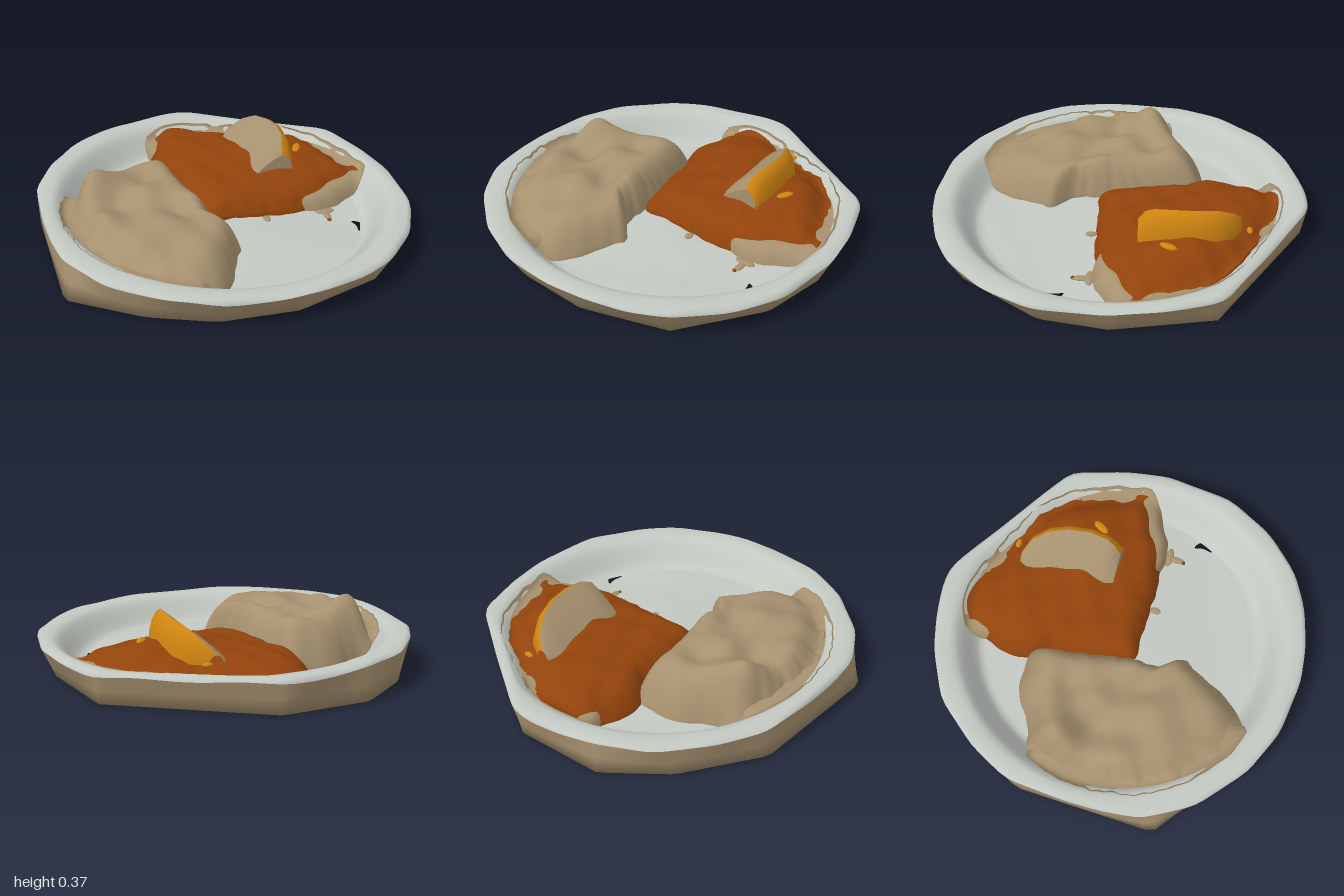
import * as THREE from 'three';

const N = 120;
const V = (x, y, z) => new THREE.Vector3(x, y, z);
const material = (name, color) => new THREE.MeshStandardMaterial({ name, color });

// Radius of a star-shaped outline around (cx, cz), sampled at N equal angles
function radii(points, cx = 0, cz = 0) {
  return Array.from({ length: N }, (_, j) => {
    const a = (j / N) * Math.PI * 2, dx = Math.cos(a), dz = Math.sin(a);
    let best = 0;
    points.forEach(([x0, z0], i) => {
      const [x1, z1] = points[(i + 1) % points.length];
      const ex = x1 - x0, ez = z1 - z0, px = x0 - cx, pz = z0 - cz;
      const d = dx * ez - dz * ex;
      if (Math.abs(d) < 1e-9) return;
      const r = (px * ez - pz * ex) / d, s = (px * dz - pz * dx) / d;
      if (s >= -1e-6 && s <= 1 + 1e-6) best = Math.max(best, r);
    });
    return best;
  });
}

// Round off the corners of a radius list
const soften = (r, passes) => {
  for (let p = 0; p < passes; p++) r = r.map((v, j) => (r[(j + N - 1) % N] + 2 * v + r[(j + 1) % N]) / 4);
  return r;
};

// Closed loop of points from radii and a height rule
const loop = (r, scale, height, cx = 0, cz = 0) => r.map((v, j) => {
  const a = (j / N) * Math.PI * 2;
  const x = cx + Math.cos(a) * v * scale, z = cz + Math.sin(a) * v * scale;
  return V(x, height(x, z), z);
});

// Skin through loops; order runs bottom to top, then outside to inside
function skin(rings, closed = true) {
  const n = rings[0].length, pos = [], idx = [];
  rings.forEach(ring => ring.forEach(p => pos.push(p.x, p.y, p.z)));
  for (let i = 0; i < rings.length - 1; i++) {
    for (let j = 0; j < (closed ? n : n - 1); j++) {
      const k = (j + 1) % n, a = i * n + j, b = i * n + k, c = a + n, d = b + n;
      idx.push(a, c, b, b, c, d);
    }
  }
  const g = new THREE.BufferGeometry();
  g.setAttribute('position', new THREE.Float32BufferAttribute(pos, 3));
  g.setIndex(idx);
  g.computeVertexNormals();
  return g;
}

const blend = (A, B, t, y) => A.map((p, j) => {
  const q = p.clone().lerp(B[j], t);
  if (y) q.y = y(q);
  return q;
});
const ripple = (x, z) => Math.sin(17 * x + 5 * z) * Math.sin(15 * z - 6 * x + 1);
const bumps = list => (x, z) => list.reduce((s, [bx, bz, h, r]) =>
  s + h * Math.exp(-((x - bx) ** 2 + (z - bz) ** 2) / (r * r)), 0);

// Plate outlines: irregular rim, inner lip and more angular foot
const rim = soften(radii([[0.07, -1], [-0.06, -1], [-0.22, -0.97], [-0.4, -0.915], [-0.65, -0.78], [-0.84, -0.54],
  [-0.95, -0.32], [-0.97, 0], [-0.965, 0.2], [-0.94, 0.4], [-0.8, 0.64], [-0.55, 0.85], [-0.3, 0.96], [0, 0.995],
  [0.2, 0.975], [0.42, 0.915], [0.6, 0.82], [0.8, 0.62], [0.93, 0.37], [0.97, 0], [0.93, -0.25], [0.83, -0.55],
  [0.5, -0.75]]), 1);
const foot = radii([[0.05, -0.97], [-0.42, -0.92], [-0.7, -0.68], [-0.95, -0.28], [-0.96, 0.47], [-0.62, 0.72],
  [-0.3, 0.86], [0.1, 0.89], [0.55, 0.76], [0.84, 0.35], [0.9, 0], [0.8, -0.52]]);
const inner = soften(rim.map(v => Math.min(0.89, v * 0.935)), 4);

// Height of the dish: deep floor curving up to the tilted rim
const rimY = x => 0.177 - 0.023 * x;
const floorBumps = bumps([[-0.1, 0.1, 0.045, 0.35], [0.665, 0.29, -0.023, 0.25]]);
function plateY(x, z) {
  const j = Math.round(((Math.atan2(z, x) / (Math.PI * 2)) + 1) * N) % N;
  const s = THREE.MathUtils.smoothstep(Math.hypot(x, z) / inner[j], 0.84, 1.01);
  const low = 0.035 + floorBumps(x, z);
  return low + (rimY(x) - low) * s;
}

// Mound of food: steep edge, uneven outline, height rule inside
function mound(outline, cx, cz, height, steep, skirt) {
  const r = soften(radii(outline, cx, cz), 1).map((v, j) => v + 0.006 * Math.sin(j * 1.1) * Math.sin(j * 0.37));
  const rings = [loop(r, 1.01, (x, z) => plateY(x, z) - 0.012, cx, cz)];
  for (let i = 0; i <= 30; i++) {
    const t = 1 - (i / 30) ** 1.5;
    rings.push(loop(r, t, (x, z) => {
      const low = plateY(x, z) + skirt;
      return low + (height(x, z) - low) * (1 - t ** steep);
    }, cx, cz));
  }
  return skin(rings);
}

export function createModel() {
  const group = new THREE.Group();
  const grey = material('plateGrey', 0xc3c8c2);
  const tan = material('tan', 0xa6916f);
  const brown = material('curryBrown', 0x92430c);
  const amber = material('amber', 0xcf8510);
  tan.side = amber.side = THREE.DoubleSide;
  const add = (name, geometry, mat) => {
    const mesh = new THREE.Mesh(geometry, mat);
    mesh.name = name;
    group.add(mesh);
    return mesh;
  };

  // Small torn hole where the floor meets the underside
  const hole = Array.from({ length: N }, (_, j) => {
    const a = (j / N) * Math.PI * 2;
    return V(0.665 + 0.02 * Math.cos(a) + 0.012 * Math.cos(2 * a), 0.012, 0.29 + 0.05 * Math.sin(a));
  });
  const base = loop(foot, 1, x => 0.005 - 0.005 * x);
  const wallTop = loop(rim, 1, (x, z) => rimY(x) - 0.014 + 0.005 * Math.sin(9 * x + 7 * z));

  // Flat underside and outer wall
  add('plateBody', skin([hole, base, blend(base, wallTop, 0.5), wallTop]), tan);

  // Rim, inner wall and floor
  const wobble = (x, z) => 0.004 * Math.sin(11 * x - 8 * z);
  const innerWall = [0.98, 0.96, 0.94, 0.92, 0.9, 0.88, 0.86].map(s => loop(inner, s, plateY));
  const floorEdge = loop(inner, 0.83, plateY);
  const floor = [0.1, 0.25, 0.4, 0.55, 0.7, 0.85, 0.95].map(t =>
    blend(floorEdge, hole, t, p => plateY(p.x, p.z) + 0.003 * ripple(p.x, p.z)));
  add('plateTop', skin([
    wallTop,
    loop(rim, 0.995, (x, z) => rimY(x) - 0.003 + wobble(x, z)),
    loop(rim, 0.975, (x, z) => rimY(x) + 0.009 + wobble(x, z)),
    blend(loop(rim, 0.96, x => rimY(x) + 0.01), loop(inner, 1, x => rimY(x) + 0.005), 0.6),
    loop(inner, 1, x => rimY(x)),
    ...innerWall, floorEdge, ...floor, hole
  ]), grey);

  // Mashed potato, with a low smear against the rim
  const mashBumps = bumps([[-0.69, -0.14, 0.12, 0.12], [-0.19, 0.12, 0.05, 0.13], [-0.25, -0.28, 0.05, 0.14],
    [-0.45, 0.3, 0.035, 0.12], [-0.56, 0.05, -0.04, 0.09], [-0.71, 0.24, 0.03, 0.12], [-0.14, 0.38, 0.03, 0.09],
    [-0.42, -0.02, 0.04, 0.1], [-0.3, 0.22, -0.03, 0.08], [-0.38, -0.16, -0.02, 0.07], [-0.52, -0.22, 0.035, 0.12]]);
  const mashY = (x, z) => 0.24 + mashBumps(x, z) + 0.015 * ripple(x, z) - 0.09 * Math.max(0, z - 0.45);
  add('mashedPotato', mound([[-0.2, -0.44], [-0.45, -0.44], [-0.6, -0.33], [-0.76, -0.28], [-0.81, -0.1],
    [-0.83, 0.1], [-0.79, 0.33], [-0.68, 0.53], [-0.5, 0.7], [-0.33, 0.78], [-0.2, 0.7], [-0.15, 0.62], [-0.1, 0.5],
    [-0.02, 0.37], [-0.12, 0.28], [-0.12, 0.1], [-0.15, -0.1], [-0.18, -0.25]], -0.45, 0.12, mashY, 8, 0.01), tan);
  add('mashSmear', mound([[-0.4, -0.3], [-0.8, -0.27], [-0.87, -0.1], [-0.885, 0.1], [-0.84, 0.35], [-0.72, 0.55],
    [-0.52, 0.73], [-0.33, 0.8], [-0.25, 0.7], [-0.3, 0.3]], -0.55, 0.15, () => 0.17, 14, 0.008), tan);

  // Curry with a thin tan edge of sauce towards the rim
  const curryBumps = bumps([[0.48, -0.36, 0.06, 0.18], [0.24, -0.3, 0.03, 0.15], [0.05, -0.52, 0.02, 0.14]]);
  const curryY = (x, z) => 0.19 - 0.02 * x + curryBumps(x, z) + 0.008 * ripple(x * 1.5, z * 1.5);
  add('curry', mound([[-0.05, -0.86], [-0.2, -0.79], [-0.27, -0.55], [-0.26, -0.42], [-0.2, -0.36], [-0.2, -0.2],
    [-0.15, 0], [-0.12, 0.12], [0.05, 0.11], [0.3, 0.11], [0.55, 0.09], [0.65, 0.02], [0.81, -0.05], [0.835, -0.1],
    [0.79, -0.25], [0.7, -0.46], [0.55, -0.62], [0.35, -0.71], [0.1, -0.82]], 0.22, -0.33, curryY, 8, 0.012), brown);
  add('sauceEdge', mound([[-0.1, -0.1], [-0.2, -0.5], [-0.24, -0.81], [-0.05, -0.88], [0.12, -0.85], [0.36, -0.75],
    [0.58, -0.65], [0.74, -0.48], [0.83, -0.26], [0.87, -0.08], [0.8, -0.01], [0.62, 0.09], [0.5, 0.11], [0.2, 0.06]],
  0.22, -0.33, () => 0.12, 20, 0.008), tan);

  // Sauce drips on the plate
  [[0.54, 0.12, 0.06, 0.025, tan], [0.54, 0.16, 0.02, 0.05, tan], [0.2, 0.14, 0.02, 0.03, tan],
    [0.535, 0.205, 0.012, 0.012, brown]].forEach(([x, z, sx, sz, mat]) => {
    const drip = add('sauceDrip', new THREE.SphereGeometry(1, 14, 8), mat);
    drip.scale.set(sx, 0.009, sz);
    drip.position.set(x, plateY(x, z), z);
  });

  // Wedge sections: z, cut foot x, ridge x, ridge y, outer foot x
  const sections = [[-0.64, 0.21, 0.25, 0.22, 0.29], [-0.6, 0.18, 0.31, 0.285, 0.37], [-0.52, 0.18, 0.36, 0.335, 0.43],
    [-0.42, 0.185, 0.395, 0.355, 0.465], [-0.3, 0.19, 0.41, 0.367, 0.475], [-0.2, 0.2, 0.4, 0.362, 0.465],
    [-0.15, 0.21, 0.385, 0.34, 0.45], [-0.115, 0.22, 0.375, 0.28, 0.44]];
  const cutLines = [1, 0.67, 0.33, 0].map(t => sections.map(([z, a, b, y]) =>
    V(a + (b - a) * t, 0.175 + (y - 0.175) * t + 0.012 * Math.sin(Math.PI * t), z)));
  const skinLines = [1, 0.75, 0.5, 0.25, 0].map(t => sections.map(([z, , b, y, o]) =>
    V(b + (o - b) * Math.sin(t * Math.PI / 2), 0.175 + (y - 0.175) * Math.cos(t * Math.PI / 2), z)));
  add('wedgeCutFace', skin(cutLines, false), tan);
  add('wedgeSkin', skin(skinLines, false), amber);
  const endPoints = [...skinLines, ...cutLines].map(line => line[line.length - 1]);
  const end = new THREE.ShapeGeometry(new THREE.Shape(endPoints.map(p => new THREE.Vector2(p.x, p.y))));
  add('wedgeEnd', end, tan).position.z = endPoints[0].z;

  // Amber flecks on the curry
  [[0.52, -0.27, 0.022, 0.05, -0.5], [0.31, -0.68, 0.028, 0.016, 0]].forEach(([x, z, sx, sz, turn]) => {
    const fleck = add('curryFleck', new THREE.SphereGeometry(1, 14, 8), amber);
    fleck.scale.set(sx, 0.012, sz);
    fleck.rotation.y = turn;
    fleck.position.set(x, curryY(x, z) + 0.002, z);
  });
  return group;
}
